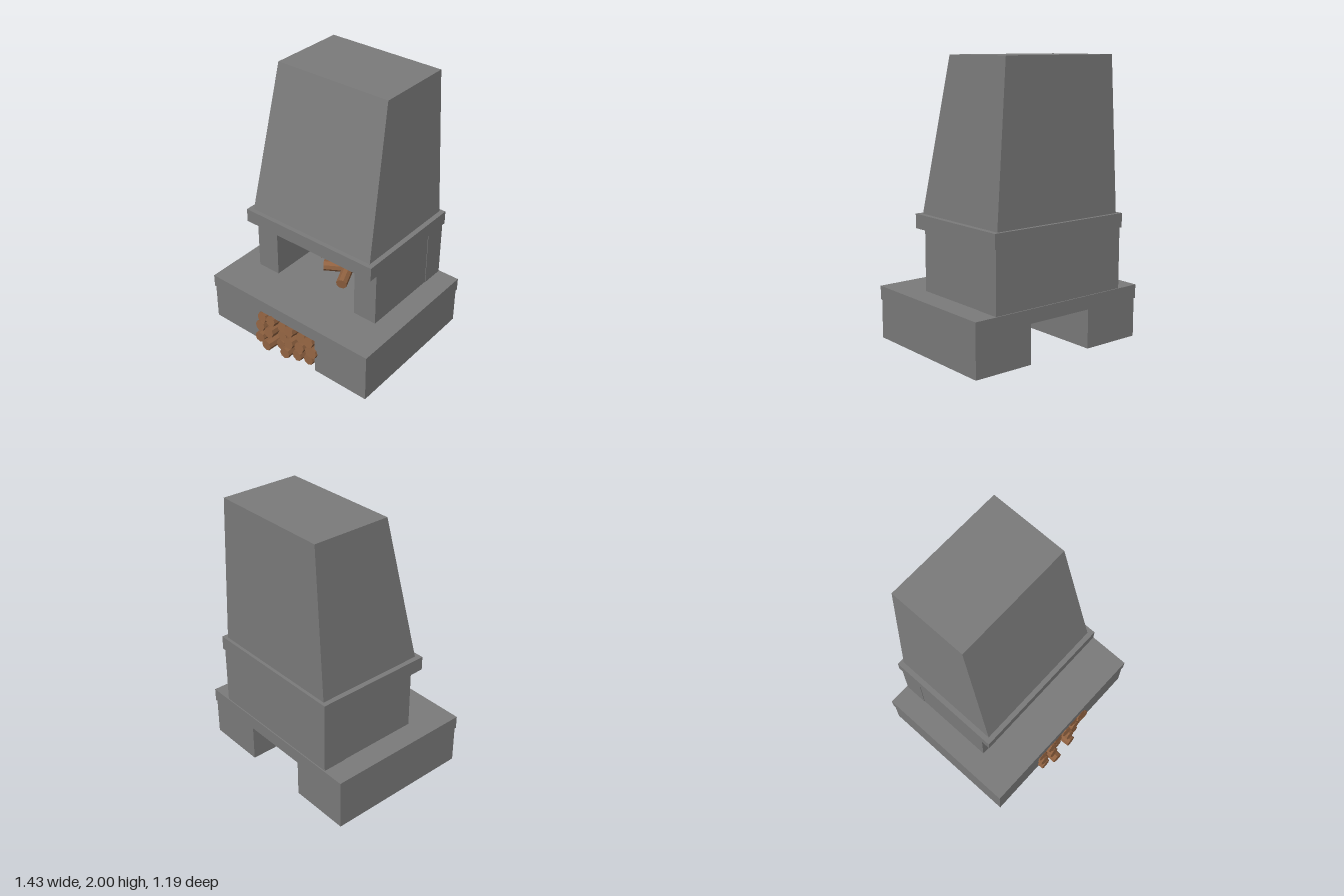
import * as THREE from 'three';

const stone = new THREE.MeshStandardMaterial({ color: 0x7b7b7b, flatShading: true });
const wood = new THREE.MeshStandardMaterial({ color: 0x8f6140, flatShading: true });

export function createModel() {
  const model = new THREE.Group();

  // Box given by its limits on each axis
  function block(name, x0, x1, y0, y1, z0, z1) {
    const geo = new THREE.BoxGeometry(x1 - x0, y1 - y0, z1 - z0);
    const mesh = new THREE.Mesh(geo, stone);
    mesh.name = name;
    mesh.position.set((x0 + x1) / 2, (y0 + y1) / 2, (z0 + z1) / 2);
    model.add(mesh);
    return mesh;
  }

  // Same block on both sides, x measured outwards from the middle
  function pair(name, x0, x1, ...rest) {
    block(name + 'Left', x0, x1, ...rest);
    block(name + 'Right', -x1, -x0, ...rest);
  }

  // Log from its front end to its back end
  function log(name, from, to, radius, parent) {
    const a = new THREE.Vector3(...from), b = new THREE.Vector3(...to);
    const dir = b.clone().sub(a);
    const mesh = new THREE.Mesh(new THREE.CylinderGeometry(radius, radius, dir.length(), 8), wood);
    mesh.name = name;
    mesh.position.copy(a).add(b).multiplyScalar(0.5);
    mesh.quaternion.setFromUnitVectors(new THREE.Vector3(0, 1, 0), dir.normalize());
    parent.add(mesh);
  }

  // Base blocks with the wood store open between them, and the hearth slab
  pair('base', 0.257, 0.707, 0, 0.282, -0.585, 0.51);
  block('hearthSlab', -0.713, 0.713, 0.282, 0.38, -0.593, 0.517);

  // Firebox: side walls, rear corner posts and back panel
  pair('sideWall', 0.357, 0.543, 0.38, 0.813, -0.41, 0.197);
  pair('rearPost', 0.357, 0.547, 0.38, 0.813, -0.585, -0.41);
  block('backPanel', -0.357, 0.357, 0.38, 0.813, -0.585, -0.41);

  // Mantel
  block('mantel', -0.56, 0.56, 0.813, 0.915, -0.593, 0.285);

  // Tapered hood: upright back, sloping front and sides
  const hood = block('hood', -0.523, 0.523, 0.915, 2, -0.57, 0.25);
  const pos = hood.geometry.attributes.position;
  for (let i = 0; i < pos.count; i++) {
    if (pos.getY(i) < 0) continue;
    pos.setX(i, Math.sign(pos.getX(i)) * 0.455);
    if (pos.getZ(i) > 0) pos.setZ(i, pos.getZ(i) - 0.237);
  }
  hood.geometry.computeVertexNormals();

  // Stacked logs: [x, y, z] of each front end, row by row; upper rows tip up
  const stack = new THREE.Group();
  stack.name = 'logStack';
  const rows = [
    [[-0.23, 0.07, 0.555], [-0.135, 0.067, 0.59], [-0.055, 0.07, 0.52],
      [0.035, 0.08, 0.58], [0.115, 0.075, 0.54], [0.205, 0.075, 0.52]],
    [[-0.232, 0.17, 0.545], [-0.14, 0.16, 0.555], [-0.045, 0.157, 0.515],
      [0.05, 0.162, 0.555], [0.132, 0.155, 0.535], [0.22, 0.16, 0.525], [0.243, 0.163, 0.53]],
    [[-0.23, 0.235, 0.525], [-0.138, 0.252, 0.535], [-0.045, 0.235, 0.515],
      [0.03, 0.243, 0.53], [0.13, 0.23, 0.515], [0.208, 0.24, 0.525]],
  ];
  rows.forEach((row, r) => row.forEach(([x, y, z], i) => {
    const drop = [0.01, 0.03, 0.035][r];
    const drift = ((i * 2 + r) % 3 - 1) * 0.01;
    log('stackedLog', [x, y, z], [x + drift, y - drop, z - 0.22], 0.042, stack);
  }));
  model.add(stack);

  // Logs laid in the fire
  const fire = new THREE.Group();
  fire.name = 'fireLogs';
  log('fireLog', [-0.235, 0.425, -0.17], [0.065, 0.53, -0.14], 0.042, fire);
  log('fireLog', [-0.13, 0.42, -0.06], [0.1, 0.42, -0.2], 0.042, fire);
  log('fireLog', [0.125, 0.428, 0.05], [0.01, 0.475, -0.24], 0.042, fire);
  model.add(fire);

  return model;
}
